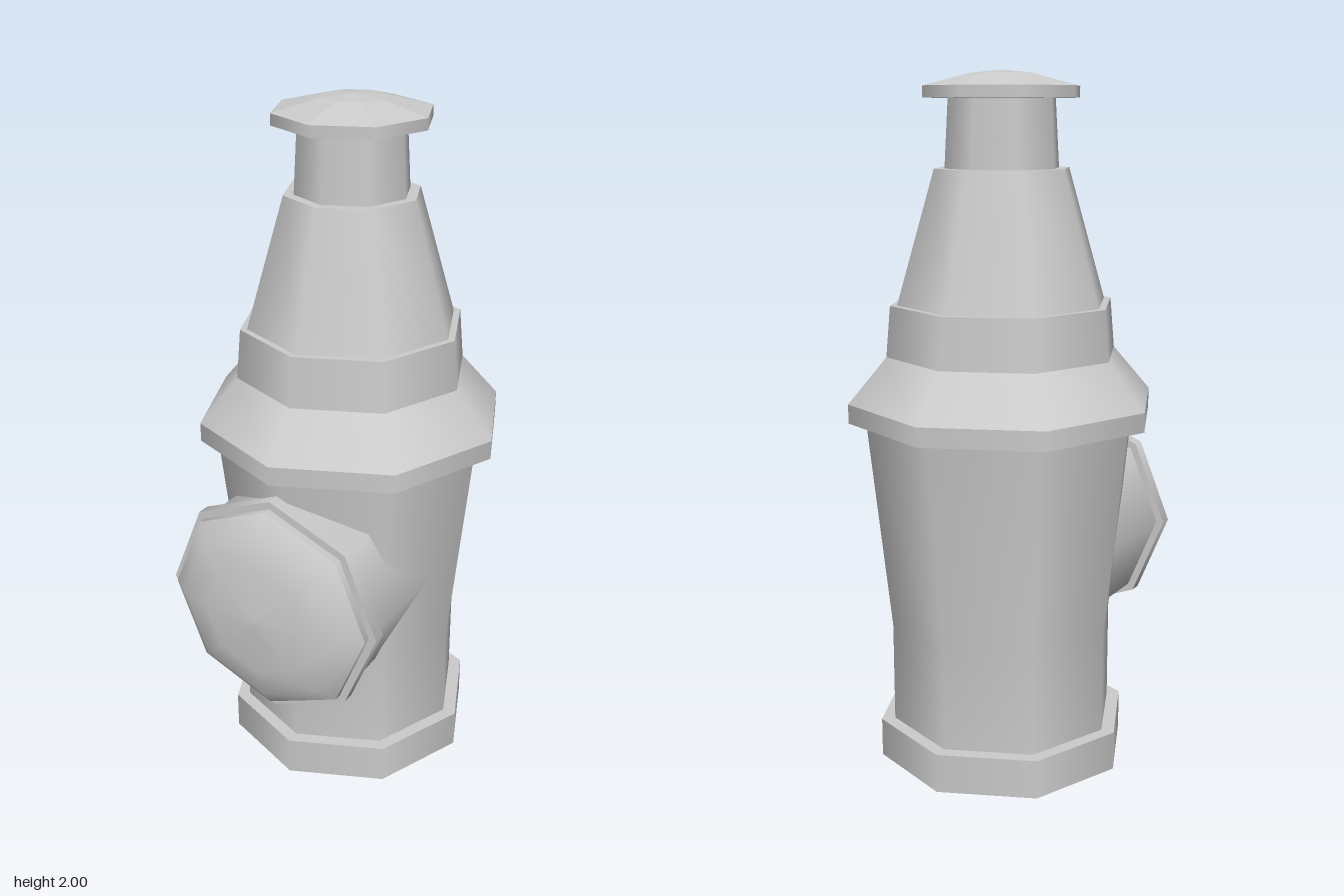
import * as THREE from 'three';

const SIDES = 8;
const grey = new THREE.MeshStandardMaterial({ color: 0xcccccc });
const facetedGrey = new THREE.MeshStandardMaterial({ color: 0xcccccc, flatShading: true });

// Each band is a list of [radius, height] points: smooth inside a band, sharp between bands.
function turned(name, bands, material = grey) {
  const group = new THREE.Group();
  group.name = name;
  bands.forEach((band, i) => {
    const points = band.map(([r, y]) => new THREE.Vector2(r, y));
    const mesh = new THREE.Mesh(new THREE.LatheGeometry(points, SIDES), material);
    mesh.name = `${name}Band${i + 1}`;
    group.add(mesh);
  });
  return group;
}

// Straight or tapered drum with flat ends.
function drum(name, rBottom, rTop, y0, y1) {
  return turned(name, [
    [[0, y0], [rBottom, y0]],
    [[rBottom, y0], [rTop, y1]],
    [[rTop, y1], [0, y1]],
  ]);
}

export function createModel() {
  const model = new THREE.Group();
  model.name = 'hydrant';

  // Upright barrel, set slightly back from the centre
  const barrel = new THREE.Group();
  barrel.name = 'barrel';
  barrel.position.z = -0.05;
  barrel.add(
    drum('base', 0.375, 0.375, 0, 0.115),
    turned('body', [[[0.335, 0.115], [0.335, 0.41], [0.4, 1.03]]]),
    drum('flange', 0.45, 0.45, 1.03, 1.085),
    turned('shoulder', [[[0.45, 1.085], [0.338, 1.215]]]),
    drum('collar', 0.338, 0.325, 1.215, 1.36),
    drum('bonnet', 0.305, 0.195, 1.36, 1.735),
    turned('neck', [[[0.165, 1.735], [0.154, 1.925]]]),
    drum('capRim', 0.225, 0.225, 1.925, 1.957),
    turned('capDome', [[[0.225, 1.957], [0.09, 1.991], [0, 2]]], facetedGrey),
  );
  model.add(barrel);

  // Front outlet, turned about the z axis
  const outlet = new THREE.Group();
  outlet.name = 'outlet';
  outlet.position.y = 0.64;
  outlet.rotation.x = Math.PI / 2;
  outlet.add(
    turned('outletPipe', [[[0.315, -0.05], [0.315, 0.42]]]),
    drum('outletRing', 0.338, 0.338, 0.36, 0.398),
    turned('outletCap', [[[0.315, 0.42], [0.265, 0.455], [0.17, 0.484], [0, 0.495]]]),
  );
  model.add(outlet);

  return model;
}
